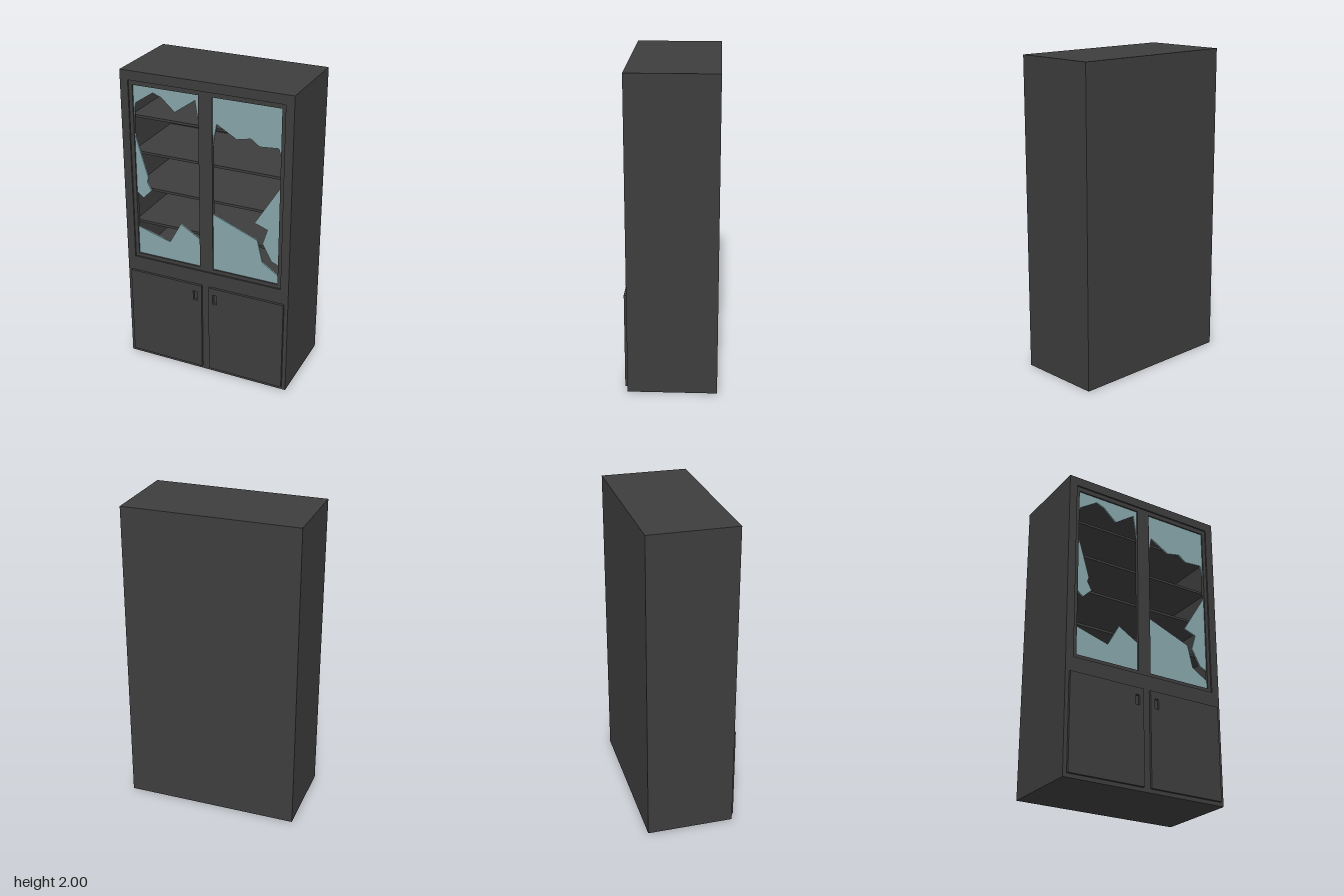
import * as THREE from 'three';

const wood = new THREE.MeshStandardMaterial({ color: 0x3d3d3d });
wood.name = 'darkWood';
const glass = new THREE.MeshStandardMaterial({ color: 0x86a4a8 });
glass.name = 'paleGlass';

const rect = (x0, y0, x1, y1) => [[x0, y0], [x1, y0], [x1, y1], [x0, y1]];
const toPoints = (pts) => pts.map(([x, y]) => new THREE.Vector2(x, y));

// Flat outline with optional holes, extruded from z0 to z1
function slab(name, material, outline, z0, z1, holes = []) {
  const shape = new THREE.Shape(toPoints(outline));
  for (const hole of holes) shape.holes.push(new THREE.Path(toPoints(hole)));
  const geometry = new THREE.ExtrudeGeometry(shape, { depth: z1 - z0, bevelEnabled: false });
  geometry.translate(0, 0, z0);
  const mesh = new THREE.Mesh(geometry, material);
  mesh.name = name;
  return mesh;
}

export function createModel() {
  const model = new THREE.Group();
  model.name = 'displayCabinet';

  // Carcass with the open display compartment, closed by a back panel
  const opening = rect(-0.507, 0.74, 0.507, 1.94);
  model.add(slab('carcass', wood, rect(-0.56, 0, 0.56, 2), -0.26, 0.27, [opening]));
  model.add(slab('backPanel', wood, rect(-0.56, 0, 0.56, 2), -0.286, -0.26));

  // Shelves
  for (const y of [0.985, 1.225, 1.465, 1.702]) {
    model.add(slab('shelf', wood, rect(-0.507, y - 0.008, 0.507, y + 0.008), -0.26, 0.23));
  }

  for (const side of [-1, 1]) {
    const name = side > 0 ? 'left' : 'right';
    const span = (a, y0, b, y1) => rect(Math.min(side * a, side * b), y0, Math.max(side * a, side * b), y1);
    // Recessed window frame
    model.add(slab(name + 'WindowFrame', wood, span(0, 0.74, 0.507, 1.94), 0.235, 0.26,
      [span(0.045, 0.765, 0.483, 1.91)]));
    // Lower door with a sunken finger pull
    model.add(slab(name + 'Door', wood, span(0.025, 0.025, 0.535, 0.64), 0.27, 0.286,
      [span(0.055, 0.527, 0.083, 0.592)]));
  }

  // Broken glass left in the two windows
  const shards = {
    rightTopShard: [[-0.483, 1.91], [-0.483, 1.72], [-0.47, 1.795], [-0.35, 1.875], [-0.295, 1.855],
      [-0.205, 1.775], [-0.07, 1.87], [-0.045, 1.71], [-0.045, 1.91]],
    rightSideShard: [[-0.483, 1.59], [-0.483, 1.2], [-0.44, 1.165], [-0.38, 1.225], [-0.41, 1.28], [-0.4, 1.31]],
    rightBottomShard: [[-0.483, 0.765], [-0.045, 0.765], [-0.045, 0.955], [-0.18, 1.035], [-0.26, 0.89],
      [-0.483, 0.955]],
    leftTopShard: [[0.045, 1.91], [0.045, 1.605], [0.07, 1.745], [0.2, 1.67], [0.29, 1.69], [0.345, 1.65],
      [0.465, 1.66], [0.483, 1.595], [0.483, 1.91]],
    leftSideShard: [[0.483, 1.415], [0.32, 1.15], [0.405, 1.12], [0.375, 1.02], [0.435, 0.91], [0.483, 0.89]],
    leftBottomShard: [[0.045, 0.765], [0.483, 0.765], [0.483, 0.82], [0.375, 0.89], [0.34, 1.035], [0.045, 1.15]],
  };
  for (const [name, outline] of Object.entries(shards)) {
    model.add(slab(name, glass, outline, 0.24, 0.251));
  }
  return model;
}
